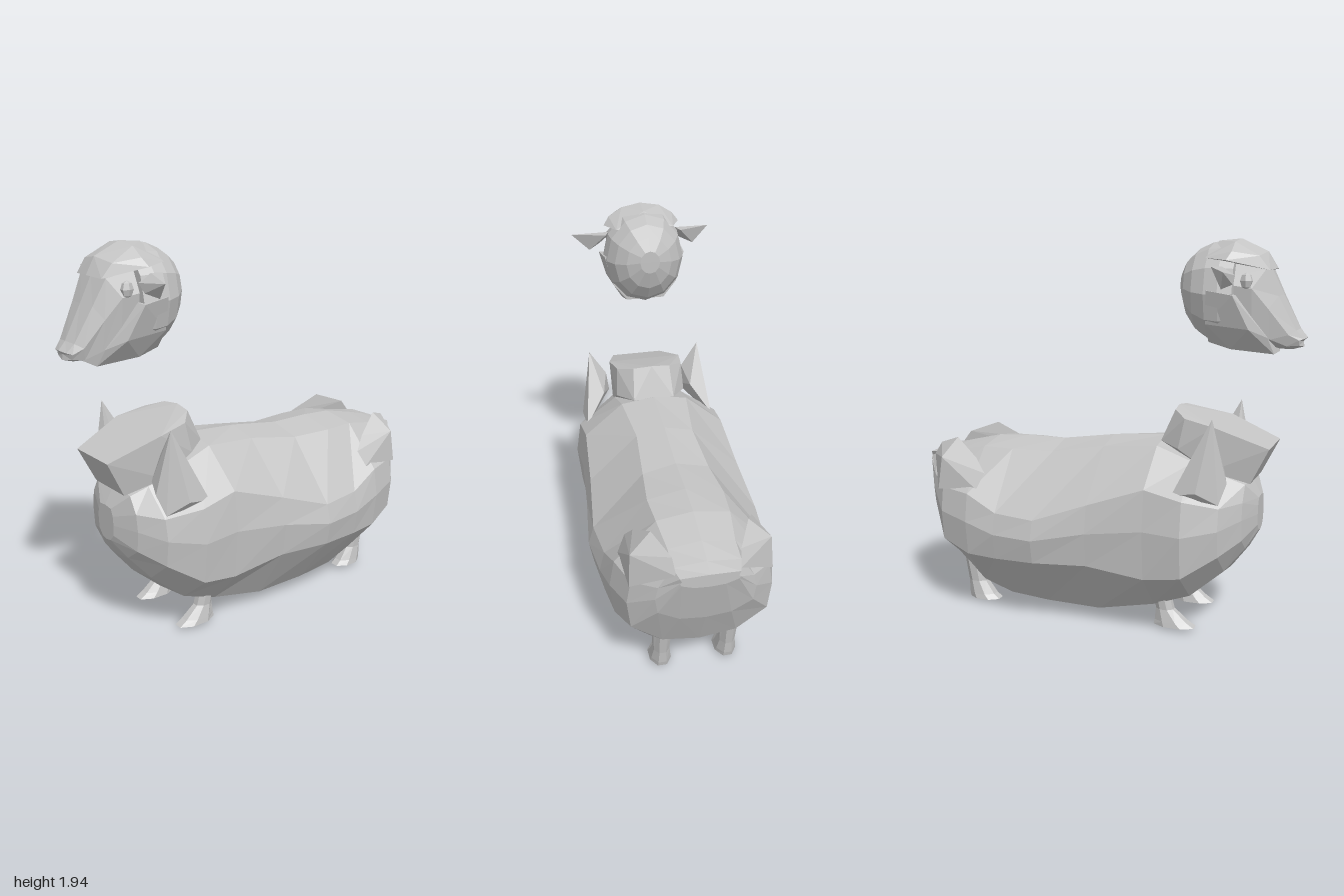
import * as THREE from 'three';
import { ConvexGeometry } from 'three/addons/geometries/ConvexGeometry.js';

const wool = new THREE.MeshStandardMaterial({ color: 0xc4c4c4, flatShading: true });
wool.name = 'paleGrey';

function addMesh(group, name, geometry) {
  const mesh = new THREE.Mesh(geometry, wool);
  mesh.name = name;
  group.add(mesh);
  return mesh;
}

// Closed surface through rings of [x, y, z], always wound outward
function loft(rings) {
  const n = rings[0].length, tris = [];
  for (let r = 0; r < rings.length - 1; r++) {
    for (let i = 0; i < n; i++) {
      const j = (i + 1) % n;
      const [a, b, c, d] = [rings[r][i], rings[r][j], rings[r + 1][j], rings[r + 1][i]];
      tris.push([a, b, c], [a, c, d]);
    }
  }
  const cap = (ring, flip) => {
    const mid = [0, 1, 2].map(k => ring.reduce((s, p) => s + p[k], 0) / n);
    ring.forEach((p, i) => {
      const q = ring[(i + 1) % n];
      tris.push(flip ? [mid, q, p] : [mid, p, q]);
    });
  };
  cap(rings[0], true);
  cap(rings[rings.length - 1], false);
  const v = p => new THREE.Vector3(...p);
  const volume = tris.reduce((s, [a, b, c]) => s + v(a).dot(v(b).cross(v(c))), 0);
  const flat = tris.flatMap(([a, b, c]) => (volume < 0 ? [a, c, b] : [a, b, c])).flat();
  const geo = new THREE.BufferGeometry();
  geo.setAttribute('position', new THREE.Float32BufferAttribute(flat, 3));
  geo.computeVertexNormals();
  return geo;
}

// Half ring from centre line to centre line, completed by mirroring in x
const mirrorRing = half => [...half, ...half.slice(1, -1).reverse().map(([x, y, z]) => [-x, y, z])];

const hull = (pts, s = 1) => new ConvexGeometry(pts.map(([x, y, z]) => new THREE.Vector3(x * s, y, z)));
const symmetricHull = pts => hull([...pts, ...pts.filter(p => p[0] > 0).map(([x, y, z]) => [-x, y, z])]);
const mix = THREE.MathUtils.lerp;

// Torso stations: z, belly y, lower flank y, upper flank y, spine y, half width, back half width
const torso = [
  [0.80, 0.51, 0.55, 0.65, 0.69, 0.07, 0.05],
  [0.75, 0.42, 0.50, 0.69, 0.78, 0.21, 0.15],
  [0.66, 0.30, 0.44, 0.68, 0.82, 0.33, 0.17],
  [0.50, 0.16, 0.34, 0.72, 0.89, 0.42, 0.19],
  [0.31, 0.08, 0.31, 0.76, 0.96, 0.41, 0.18],
  [0.02, 0, 0.35, 0.66, 0.94, 0.43, 0.15],
  [-0.26, 0.015, 0.34, 0.56, 0.90, 0.46, 0.17],
  [-0.48, 0.03, 0.33, 0.57, 0.90, 0.435, 0.19],
  [-0.65, 0.09, 0.33, 0.65, 0.89, 0.41, 0.18],
  [-0.82, 0.24, 0.38, 0.66, 0.85, 0.355, 0.16],
  [-0.93, 0.48, 0.55, 0.70, 0.82, 0.24, 0.16],
  [-1.00, 0.73, 0.755, 0.775, 0.80, 0.14, 0.14],
];
const torsoRing = ([z, belly, low, up, spine, w, back]) => mirrorRing([
  [0, belly, z], [w * 0.52, mix(belly, low, 0.18), z], [w * 0.95, low, z], [w, mix(low, up, 0.55), z],
  [w * 0.94, up, z], [back, mix(spine, up, 0.12), z], [0, spine, z],
]);

// Leg levels from hoof to thigh: y, front z, back z, half width
const legs = {
  Front: { x: 0.185, levels: [[0.015, 0.52, 0.31, 0.055], [0.04, 0.48, 0.315, 0.05], [0.10, 0.41, 0.32, 0.037], [0.25, 0.37, 0.30, 0.045]] },
  Rear: { x: 0.17, levels: [[0.015, -0.58, -0.75, 0.055], [0.04, -0.61, -0.755, 0.05], [0.11, -0.66, -0.76, 0.04], [0.36, -0.70, -0.80, 0.05]] },
};
function legGeometry({ x, levels }, s) {
  return loft(levels.map(([y, front, back, w]) => Array.from({ length: 8 }, (_, i) => {
    const a = (i + 0.5) / 8 * Math.PI * 2;
    return [s * x + w * 1.08 * Math.sin(a), y, mix(back, front, 0.5 + 0.54 * Math.cos(a))];
  })));
}

// Face stations from forehead to nose: top y, top z, chin y, chin z, half width
const face = [
  [1.84, 0.60, 1.45, 0.60, 0.17],
  [1.80, 0.82, 1.44, 0.79, 0.16],
  [1.68, 0.88, 1.42, 0.87, 0.13],
  [1.52, 0.965, 1.42, 0.93, 0.095],
  [1.48, 1.00, 1.435, 0.985, 0.075],
];
const faceRing = ([top, topZ, chin, chinZ, w]) => mirrorRing([
  [0, top, topZ], [w * 0.7, top - 0.005, topZ - 0.01],
  [w, mix(top, chin, 0.25), mix(topZ, chinZ, 0.25) - w * 0.35],
  [w * 0.85, mix(top, chin, 0.8), mix(topZ, chinZ, 0.8) - w * 0.25], [0, chin, chinZ],
]);

// Rounded back of the head, rings growing forward from the rear
function skullGeometry() {
  return loft([14, 34, 54, 74, 92, 110].map(deg => {
    const t = THREE.MathUtils.degToRad(deg), r = Math.sin(t);
    return Array.from({ length: 12 }, (_, i) => {
      const a = i / 12 * Math.PI * 2;
      return [0.213 * r * Math.sin(a), mix(1.73, 1.68, r) + 0.25 * r * Math.cos(a), 0.595 - 0.22 * Math.cos(t)];
    });
  }));
}

export function createModel() {
  const model = new THREE.Group();
  model.name = 'sheep';
  const body = new THREE.Group();
  body.name = 'body';
  const head = new THREE.Group();
  head.name = 'head';
  model.add(body, head);

  addMesh(body, 'torso', loft(torso.map(torsoRing)));

  // Neck stump with a tilted end
  addMesh(body, 'neck', symmetricHull([
    [0.14, 0.95, 0.86], [0.20, 1.05, 0.60], [0.18, 1.08, 0.45], [0.10, 1.11, 0.38], [0, 1.12, 0.37],
    [0.13, 0.77, 0.77], [0.19, 0.83, 0.58], [0.19, 0.93, 0.42], [0.11, 0.95, 0.31],
  ]));

  for (const [side, s] of [['left', 1], ['right', -1]]) {
    // Pointed tuft beside the neck
    addMesh(body, side + 'ShoulderTuft', hull([
      [0.31, 1.11, 0.62], [0.32, 0.70, 0.66], [0.36, 0.74, 0.44], [0.37, 0.76, 0.56],
      [0.25, 0.90, 0.51], [0.20, 0.84, 0.66], [0.22, 0.97, 0.62], [0.28, 0.80, 0.69],
    ], s));
    // Flap of wool over the haunch
    addMesh(body, side + 'RumpTuft', hull([
      [0.36, 0.67, -0.61], [0.345, 0.65, -0.84], [0.32, 0.75, -0.58], [0.29, 0.82, -0.64], [0.23, 0.91, -0.78],
      [0.16, 0.86, -0.92], [0.15, 0.79, -0.97], [0.335, 0.82, -0.82],
    ], s));
    for (const end of ['Front', 'Rear']) addMesh(body, side + end + 'Leg', legGeometry(legs[end], s));

    addMesh(head, side + 'Ear', hull([
      [0.37, 1.79, 0.67], [0.18, 1.81, 0.62], [0.20, 1.81, 0.57], [0.28, 1.71, 0.64],
      [0.22, 1.73, 0.68], [0.17, 1.77, 0.68],
    ], s));
    const eye = addMesh(head, side + 'Eye', new THREE.SphereGeometry(0.04, 6, 4));
    eye.scale.set(0.6, 1, 0.8);
    eye.position.set(s * 0.155, 1.745, 0.73);
  }

  addMesh(head, 'skullWool', skullGeometry());

  // Forelock overhanging the brow
  addMesh(head, 'forelock', symmetricHull([
    [0, 1.80, 0.845], [0.11, 1.795, 0.83], [0.20, 1.84, 0.64], [0.17, 1.88, 0.66], [0.10, 1.925, 0.66],
    [0, 1.94, 0.67], [0, 1.93, 0.56], [0.15, 1.85, 0.53], [0, 1.88, 0.80], [0.12, 1.86, 0.78],
  ]));

  // Wool wrapping the cheeks and jaw
  addMesh(head, 'jawWool', symmetricHull([
    [0.08, 1.40, 0.855], [0.12, 1.48, 0.83], [0.18, 1.52, 0.75], [0.225, 1.68, 0.68],
    [0.11, 1.42, 0.65], [0.213, 1.70, 0.55], [0.17, 1.54, 0.54], [0.10, 1.45, 0.54],
  ]));

  addMesh(head, 'face', loft(face.map(faceRing)));
  return model;
}
